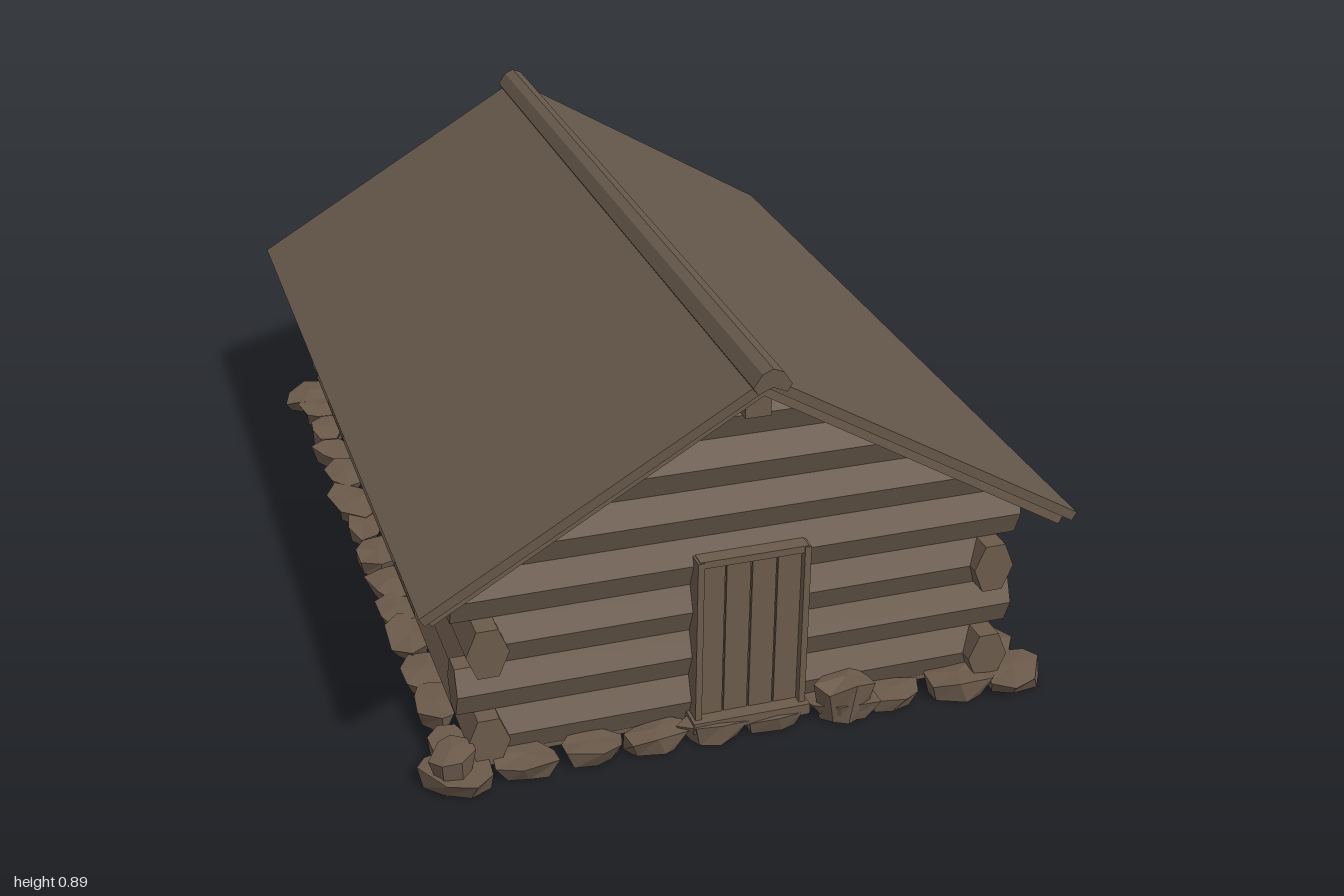
import * as THREE from 'three';

const wood = new THREE.MeshStandardMaterial({ color: 0x6b5a4b });
wood.name = 'weathered wood';
const roofWood = new THREE.MeshStandardMaterial({ color: 0x65574a });
roofWood.name = 'roof wood';
const stone = new THREE.MeshStandardMaterial({ color: 0x6b5a4b });
stone.name = 'foundation stone';

const WALL_X = 0.555, WALL_Z = 0.84; // wall centre lines
const ROW = 0.11, BASE = 0.03;       // log height, bottom of first log
const PEAK_UNDER = 0.82, SLOPE = 0.589;

let seed = 7;
const rand = () => (seed = (seed * 16807) % 2147483647) / 2147483647;
const vary = (a) => (rand() * 2 - 1) * a;

function add(parent, name, geometry, material = wood) {
  const flat = geometry.index ? geometry.toNonIndexed() : geometry;
  flat.computeVertexNormals();
  const mesh = new THREE.Mesh(flat, material);
  mesh.name = name;
  parent.add(mesh);
  return mesh;
}

// Box given by its limits on each axis
function box(parent, name, x0, x1, y0, y1, z0, z1, material) {
  const g = new THREE.BoxGeometry(x1 - x0, y1 - y0, z1 - z0);
  g.translate((x0 + x1) / 2, (y0 + y1) / 2, (z0 + z1) / 2);
  return add(parent, name, g, material);
}

// Six-sided log along x with flat top and bottom
function logGeometry(length) {
  const g = new THREE.CylinderGeometry(1, 1, length, 6);
  g.rotateZ(Math.PI / 2);
  g.scale(1, 0.0635, 0.045);
  return g;
}

// Extrude a symmetric outline, given as its right half from the peak round to the underside
function chevron(parent, name, half, z0, z1, material) {
  const left = half.map(([x, y]) => [-x, y]).reverse().filter(([x]) => x !== 0);
  const shape = new THREE.Shape([...half, ...left].map(([x, y]) => new THREE.Vector2(x, y)));
  const g = new THREE.ExtrudeGeometry(shape, { depth: z1 - z0, bevelEnabled: false });
  g.translate(0, 0, z0);
  return add(parent, name, g, material);
}

function buildWalls() {
  const walls = new THREE.Group();
  walls.name = 'logWalls';
  for (let row = 0; row < 4; row++) {
    const y = BASE + ROW * (row + 0.5);
    const sideLong = row % 2 === 0; // rows take turns to run past the corners
    for (const s of [-1, 1]) {
      const end = add(walls, 'endWallLog', logGeometry(sideLong ? 1.11 : 1.235 + vary(0.01)));
      end.position.set(0, y, s * WALL_Z);
      const side = add(walls, 'sideWallLog', logGeometry(sideLong ? 1.815 + vary(0.015) : 1.68));
      side.rotation.y = Math.PI / 2;
      side.position.set(s * WALL_X, y, 0);
    }
  }
  // Gable logs, their ends cut to the roof slope
  for (let row = 4; row < 7; row++) {
    const y = BASE + ROW * (row + 0.5);
    const g = logGeometry(2);
    const p = g.attributes.position;
    for (let i = 0; i < p.count; i++) {
      const half = Math.min(0.59, (PEAK_UNDER + 0.008 - (p.getY(i) + y)) / SLOPE);
      p.setX(i, Math.sign(p.getX(i)) * half * Math.abs(p.getX(i)));
    }
    for (const s of [-1, 1]) add(walls, 'gableLog', g.clone()).position.set(0, y, s * WALL_Z);
  }
  for (const s of [-1, 1]) {
    const x = s * 0.535;
    box(walls, 'wallPlate', x - 0.02, x + 0.02, 0.45, 0.5, -WALL_Z, WALL_Z);
  }
  box(walls, 'floor', -0.57, 0.57, 0.018, 0.04, -0.86, 0.86);
  return walls;
}

function buildRoof() {
  const roof = new THREE.Group();
  roof.name = 'roof';
  chevron(roof, 'roofCovering', [[0, 0.866], [0.702, 0.452], [0.691, 0.434], [0, 0.842]], -0.97, 0.972, roofWood);
  chevron(roof, 'roofBoards', [[0, 0.843], [0.686, 0.439], [0.673, 0.417], [0, 0.816]], -0.95, 0.95, wood);
  chevron(roof, 'ridgeCap', [[0, 0.894], [0.022, 0.885], [0.04, 0.858], [0.03, 0.842], [0, 0.855]], -0.977, 0.994, roofWood);
  box(roof, 'ridgeBeam', -0.028, 0.026, 0.758, 0.822, -0.925, 0.925);
  return roof;
}

function buildDoor() {
  const door = new THREE.Group();
  door.name = 'door';
  const w = 0.056;
  box(door, 'doorBacking', -0.115, 0.115, 0.04, 0.425, 0.82, 0.887);
  for (let i = 0; i < 4; i++) {
    const x = (i - 2) * w;
    box(door, 'doorPlank', x + 0.002, x + w - 0.002, 0.055, 0.42, 0.86, 0.893 + vary(0.002));
  }
  for (const s of [-1, 1]) box(door, 'doorJamb', s * 0.116 - 0.007, s * 0.116 + 0.007, 0.04, 0.435, 0.83, 0.912);
  box(door, 'doorLintel', -0.118, 0.118, 0.421, 0.437, 0.83, 0.91);
  box(door, 'doorThreshold', -0.13, 0.13, 0.03, 0.055, 0.83, 0.925);
  door.position.x = 0.008;
  return door;
}

// Window facing +z, centred on its own x
function buildWindow() {
  const win = new THREE.Group();
  win.name = 'window';
  box(win, 'windowPane', -0.09, 0.09, 0.2, 0.41, -0.03, 0.047);
  for (const s of [-1, 1]) box(win, 'windowJamb', s * 0.092 - 0.01, s * 0.092 + 0.01, 0.19, 0.42, -0.02, 0.065);
  box(win, 'windowLintel', -0.082, 0.082, 0.4, 0.42, -0.02, 0.064);
  box(win, 'windowSill', -0.106, 0.106, 0.18, 0.195, -0.02, 0.072);
  box(win, 'windowMullion', -0.007, 0.007, 0.195, 0.4, 0, 0.055);
  box(win, 'windowCrossbar', -0.082, 0.082, 0.293, 0.306, 0, 0.054);
  return win;
}

// Rough stone, wider at the top than at the foot
function addStone(parent, x, z, length, width, height, angle) {
  const g = new THREE.CylinderGeometry(0.5, 0.36, 1, 7);
  const p = g.attributes.position;
  const shift = Array.from({ length: 14 }, () => [vary(0.09), vary(0.14), vary(0.09)]);
  for (let i = 0; i < p.count; i++) {
    const px = p.getX(i), py = p.getY(i), pz = p.getZ(i);
    if (Math.hypot(px, pz) < 0.01) continue;
    const corner = Math.round((Math.atan2(px, pz) / (Math.PI * 2)) * 7 + 7) % 7;
    const [dx, dy, dz] = shift[corner + (py > 0 ? 7 : 0)];
    p.setXYZ(i, px + dx, py > 0 ? py + dy - 0.1 : py, pz + dz);
  }
  g.scale(length, height, width);
  const m = add(parent, 'foundationStone', g, stone);
  m.rotation.y = angle;
  m.position.set(x, height / 2, z);
}

function buildFoundation() {
  const stones = new THREE.Group();
  stones.name = 'stoneFoundation';
  const line = (count, half, place) => {
    for (let i = 0; i < count; i++) {
      const t = -half + (2 * half * (i + 0.5)) / count + vary(0.015);
      place(t, ((2 * half) / count) * (1.15 + vary(0.15)), 0.1 + vary(0.015), 0.045 + vary(0.006));
    }
  };
  for (const s of [-1, 1]) {
    line(13, 0.88, (t, l, w, h) => addStone(stones, s * 0.615, t, l, w, h, Math.PI / 2 + vary(0.2)));
    line(8, 0.56, (t, l, w, h) => addStone(stones, t, s * 0.9, l, w, h, vary(0.2)));
    for (const e of [-1, 1]) addStone(stones, s * 0.622, e * 0.905, 0.17, 0.13, 0.046, s * e * 0.7);
  }
  // A few taller stones
  addStone(stones, 0.225, 0.91, 0.13, 0.09, 0.1, 0.1);
  addStone(stones, -0.635, 0.91, 0.09, 0.08, 0.1, 0.3);
  addStone(stones, 0.64, 0.58, 0.09, 0.08, 0.1, 1.5);
  addStone(stones, 0.33, -0.94, 0.12, 0.11, 0.045, 0.6);
  return stones;
}

export function createModel() {
  const cabin = new THREE.Group();
  cabin.name = 'logCabin';
  cabin.add(buildWalls(), buildRoof(), buildDoor(), buildFoundation());
  for (const s of [-1, 1]) {
    for (const z of [-0.425, 0.425]) {
      const win = buildWindow();
      win.rotation.y = (s * Math.PI) / 2;
      win.position.set(s * WALL_X, 0, z);
      cabin.add(win);
    }
  }
  cabin.position.x = 0.005;
  return cabin;
}
